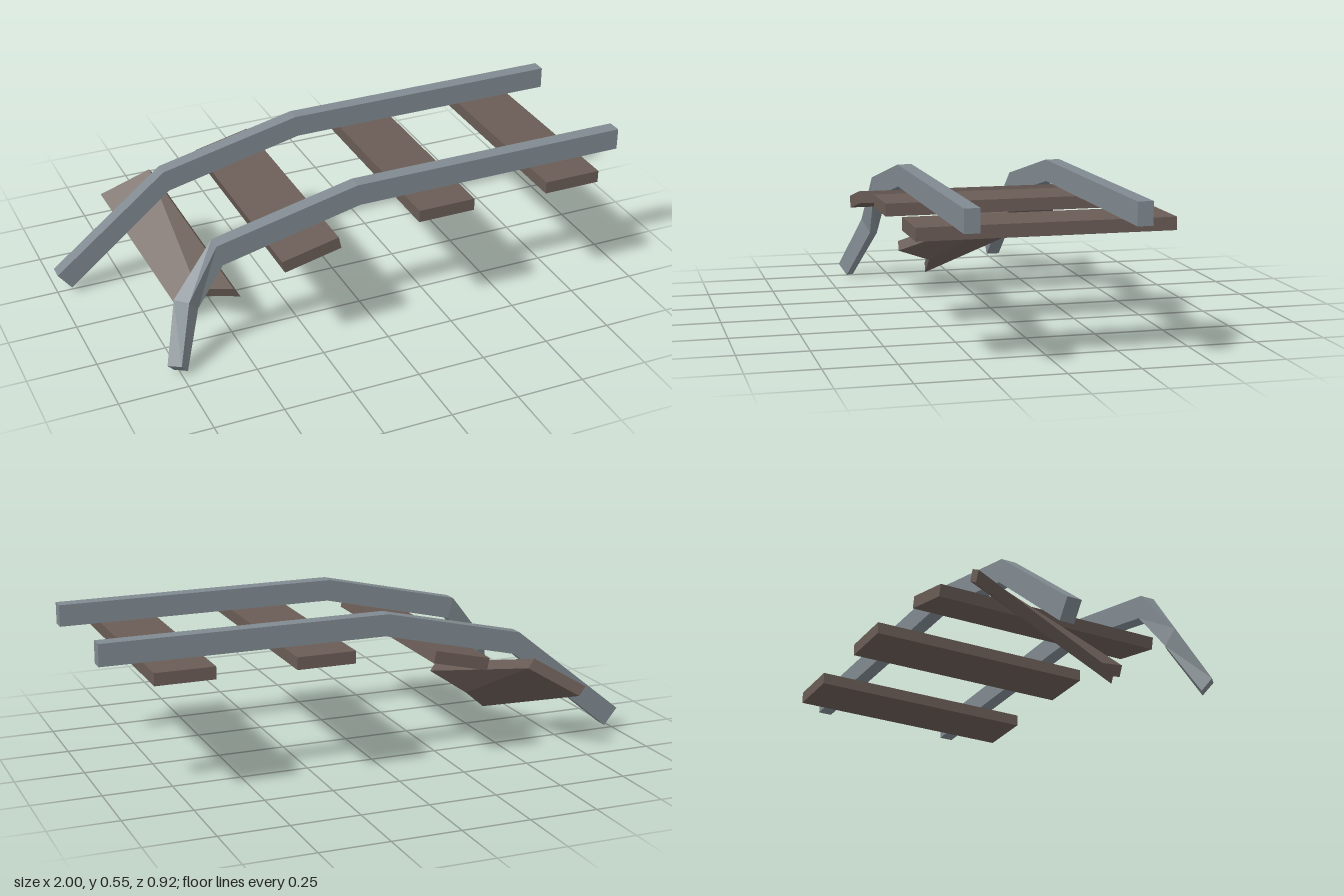
import * as THREE from 'three';

// Solid skinned over matching cross-sections; the first ring's winding faces outward.
function loft(rings) {
  const pos = [];
  const tri = (a, b, c) => pos.push(...a, ...b, ...c);
  const n = rings[0].length;
  for (let r = 0; r < rings.length - 1; r++) {
    const P = rings[r], Q = rings[r + 1];
    for (let i = 0; i < n; i++) {
      const j = (i + 1) % n;
      tri(P[i], Q[i], Q[j]);
      tri(P[i], Q[j], P[j]);
    }
  }
  const first = rings[0], last = rings[rings.length - 1];
  for (let i = 1; i < n - 1; i++) {
    tri(first[0], first[i], first[i + 1]);
    tri(last[0], last[i + 1], last[i]);
  }
  const g = new THREE.BufferGeometry();
  g.setAttribute('position', new THREE.Float32BufferAttribute(pos, 3));
  g.computeVertexNormals();
  return g;
}

export function createModel() {
  const group = new THREE.Group();
  const steel = new THREE.MeshStandardMaterial({ color: 0x808a90 });
  steel.name = 'steel grey';
  const wood = new THREE.MeshStandardMaterial({ color: 0x6a5c56 });
  wood.name = 'dark wood';
  const add = (name, geometry, material) => {
    const mesh = new THREE.Mesh(geometry, material);
    mesh.name = name;
    group.add(mesh);
    return mesh;
  };

  // Rail section: top back, top front, bottom front, bottom back
  const section = (z, [tx, ty, bx, by]) => {
    const h = 0.0265;
    return [[tx, ty, z - h], [tx, ty, z + h], [bx, by, z + h], [bx, by, z - h]];
  };
  const bend = [
    [1, 0.545, 1, 0.465],
    [-0.05, 0.545, -0.04, 0.465],
    [-0.575, 0.425, -0.555, 0.345],
  ];

  // Back rail drops straight down at its end
  const backRail = [...bend, [-1, 0.085, -0.95, 0.022]].map((s) => section(-0.253, s));
  add('backRail', loft(backRail), steel);

  // Front rail twists outward at its broken end
  const frontRail = bend.map((s) => section(0.312, s));
  frontRail.push(
    [[-0.73, 0.235, 0.315], [-0.69, 0.24, 0.362], [-0.65, 0.19, 0.335], [-0.69, 0.18, 0.3]],
    [[-0.795, 0.04, 0.412], [-0.755, 0.047, 0.447], [-0.725, 0.005, 0.42], [-0.765, 0, 0.388]],
  );
  add('frontRail', loft(frontRail), steel);

  // Sleepers hung beneath the rails
  const sleeper = new THREE.BoxGeometry(0.215, 0.045, 0.875);
  [[0.742, 0.4425, 0], [0.238, 0.4425, 0], [-0.275, 0.386, 0.227]].forEach(([x, y, tilt], i) => {
    const m = add('sleeper' + (i + 1), sleeper, wood);
    m.position.set(x, y, 0.022);
    m.rotation.z = tilt;
  });

  // Fallen sleeper with a splintered end
  const underside = [
    [-0.555, 0.085, 0.113],
    [-0.465, 0.145, 0.255],
    [-0.555, 0.32, -0.39],
    [-0.73, 0.215, -0.46],
    [-0.63, 0.02, 0.113],
  ];
  const upper = underside.map(([x, y, z]) => [x - 0.023, y + 0.035, z - 0.003]);
  add('brokenSleeper', loft([upper, underside]), wood);

  return group;
}
